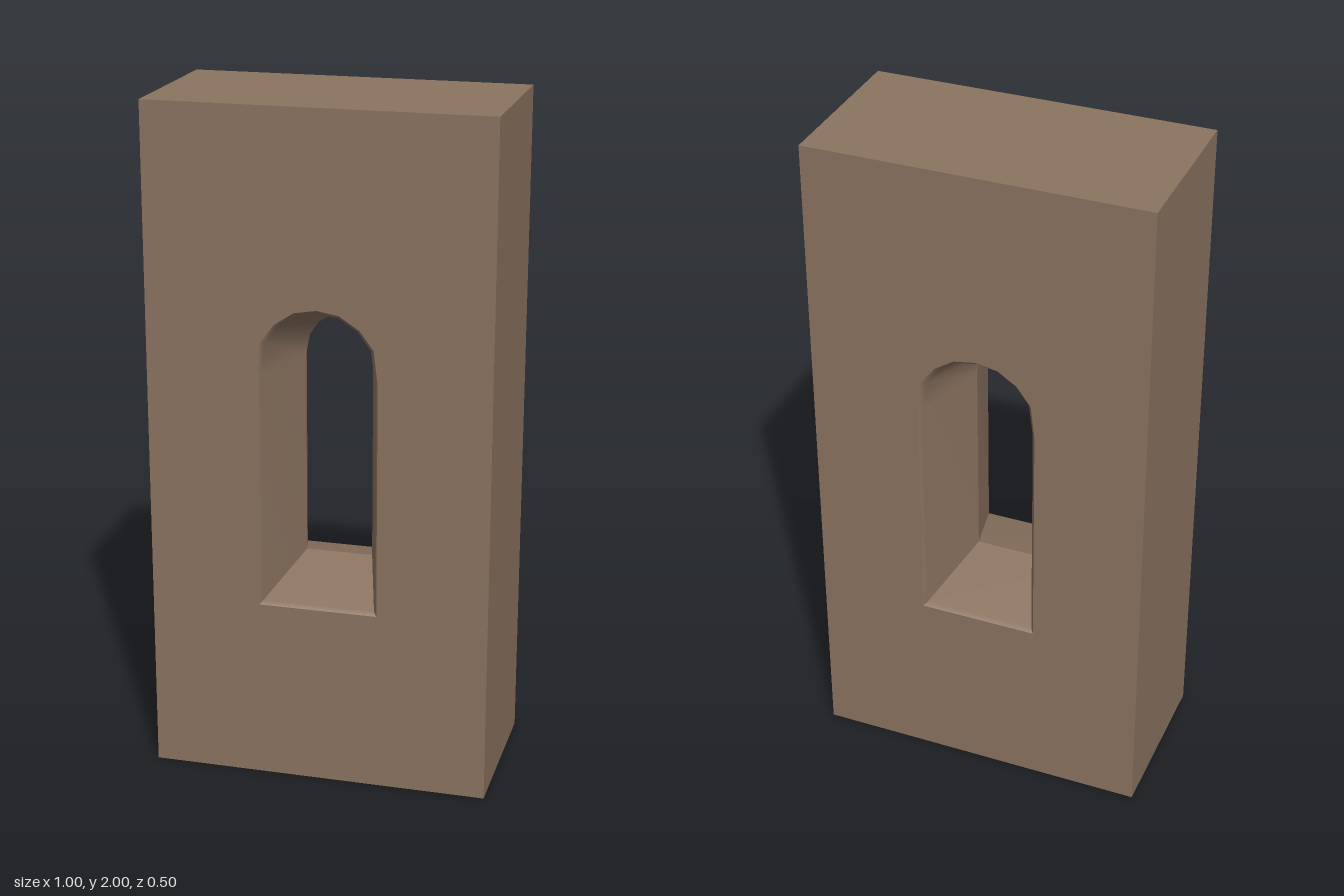
import * as THREE from 'three';

const W = 0.5, H = 2, D = 0.25; // half width, height, half depth
const stone = new THREE.MeshStandardMaterial({ color: 0x8b7360 });
stone.name = 'brown stone';

// Right half of the opening, from the sill corner up to the crown
const outerHalf = [[0.175, 0.54], [0.175, 1.235], [0.163, 1.335], [0.122, 1.39], [0.065, 1.427], [0, 1.438]];
const throatHalf = [[0.1, 0.625], [0.1, 1.235], [0.088, 1.295], [0.063, 1.332], [0.032, 1.352], [0, 1.358]];

const mirror = (half) => [...half, ...half.slice(0, -1).reverse().map(([x, y]) => [-x, y])];
const outer = mirror(outerHalf), throat = mirror(throatHalf);

// Splayed strip from the wall face to the throat, with a slightly eased edge
const rings = [[0, D], [0.13, D - 0.012], [1, 0]];
function splay(a, b) {
  const pos = [], idx = [], n = a.length;
  for (const [t, z] of rings)
    for (let i = 0; i < n; i++)
      pos.push(a[i][0] + (b[i][0] - a[i][0]) * t, a[i][1] + (b[i][1] - a[i][1]) * t, z);
  for (let k = 0; k < rings.length - 1; k++)
    for (let i = 0; i < n - 1; i++) {
      const p = k * n + i, q = p + n;
      idx.push(p, p + 1, q + 1, p, q + 1, q);
    }
  const g = new THREE.BufferGeometry();
  g.setAttribute('position', new THREE.Float32BufferAttribute(pos, 3));
  g.setIndex(idx);
  g.computeVertexNormals();
  return g;
}

function add(parent, name, geometry) {
  const m = new THREE.Mesh(geometry, stone);
  m.name = name;
  parent.add(m);
  return m;
}

export function createModel() {
  const model = new THREE.Group();
  model.name = 'wallWithArchedWindow';

  // Wall face with the arched hole
  const face = new THREE.Shape([[-W, 0], [W, 0], [W, H], [-W, H]].map((p) => new THREE.Vector2(...p)));
  face.holes.push(new THREE.Path(outer.map((p) => new THREE.Vector2(...p))));
  const faceGeo = new THREE.ShapeGeometry(face);

  // Jambs with arch, and the sloping sill
  const archGeo = splay(outer, throat);
  const ends = (l) => [l[l.length - 1], l[0]];
  const sillGeo = splay(ends(outer), ends(throat));

  // Front and back halves are alike
  ['front', 'back'].forEach((side, i) => {
    const half = new THREE.Group();
    half.name = side + 'Half';
    half.rotation.y = i * Math.PI;
    add(half, side + 'Face', faceGeo).position.z = D;
    add(half, side + 'ArchReveal', archGeo);
    add(half, side + 'Sill', sillGeo);
    model.add(half);
  });

  // Ends, top and bottom of the wall
  for (const s of [-1, 1]) {
    const end = add(model, s > 0 ? 'leftEnd' : 'rightEnd', new THREE.PlaneGeometry(2 * D, H));
    end.position.set(s * W, H / 2, 0);
    end.rotation.y = s * Math.PI / 2;
    const cap = add(model, s > 0 ? 'top' : 'bottom', new THREE.PlaneGeometry(2 * W, 2 * D));
    cap.position.y = s > 0 ? H : 0;
    cap.rotation.x = -s * Math.PI / 2;
  }
  return model;
}
